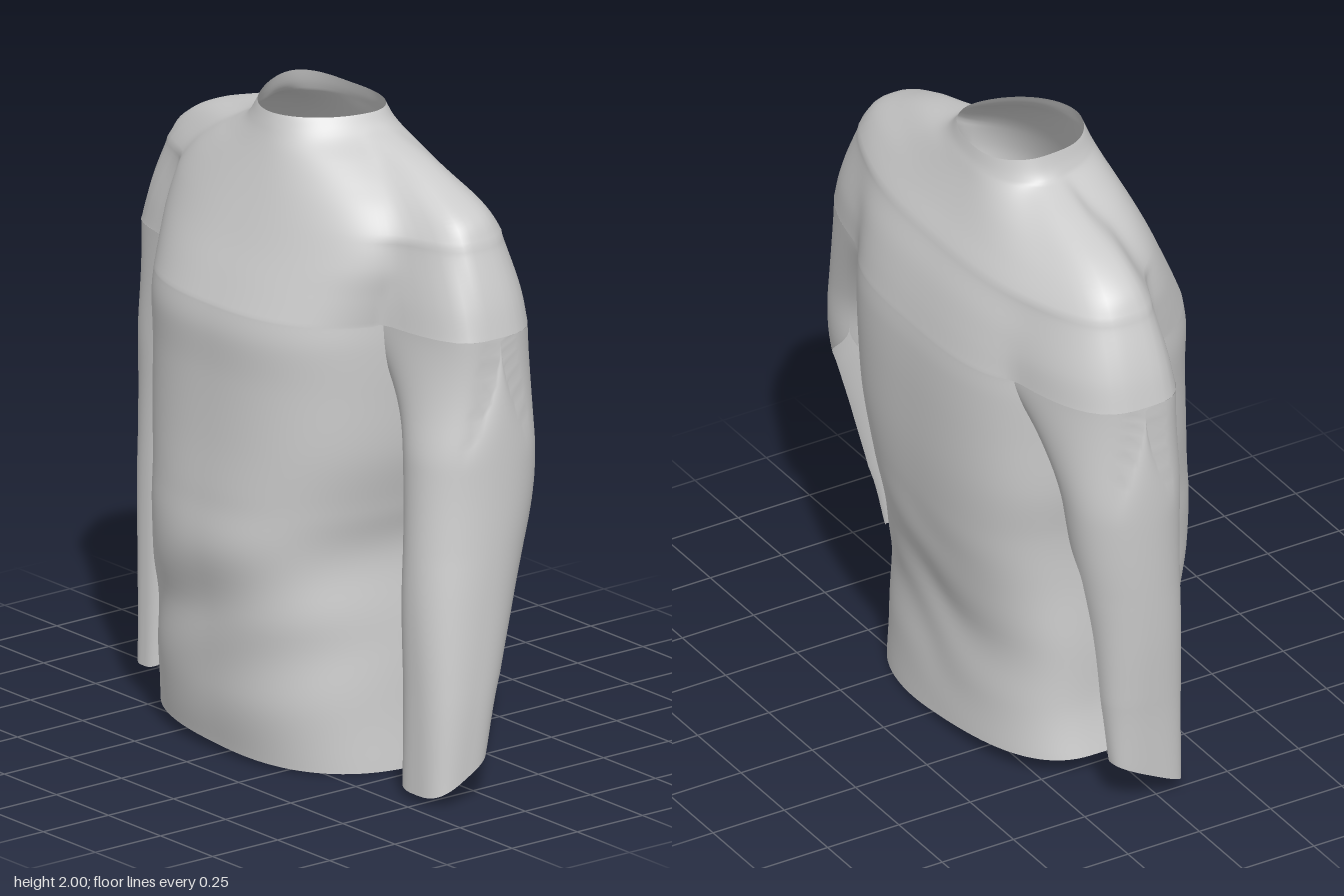
import * as THREE from 'three';
import { mergeGeometries, mergeVertices } from 'three/addons/utils/BufferGeometryUtils.js';

const material = new THREE.MeshStandardMaterial({ color: 0xcccccc, side: THREE.DoubleSide });
const { lerp, smoothstep } = THREE.MathUtils;
const CX = -0.03, CZ = -0.08; // axis shared by the torso and yoke sections
const FRONT_N = 4, BACK_N = 2.8; // squareness of the shoulder section
const CHEST_FRONT_N = 2.6, CHEST_BACK_N = 3.2; // squareness of the chest section

// Smooth interpolation through a table of key rows, t in 0..1
function sampleRow(rows, t) {
  const f = t * (rows.length - 1), i = Math.min(Math.floor(f), rows.length - 2), u = f - i;
  const at = (k) => rows[Math.max(0, Math.min(rows.length - 1, k))];
  return rows[0].map((_, c) => {
    const p0 = at(i - 1)[c], p1 = at(i)[c], p2 = at(i + 1)[c], p3 = at(i + 2)[c];
    return p1 + 0.5 * u * (p2 - p0 + u * (2 * p0 - 5 * p1 + 4 * p2 - p3 + u * (3 * (p1 - p2) + p3 - p0)));
  });
}

// Skin over a grid of points; point(s, t) gives [x, y, z]
function loft(across, along, closed, flip, point) {
  const pos = [], index = [], cols = closed ? across : across + 1;
  for (let j = 0; j <= along; j++)
    for (let i = 0; i < cols; i++) pos.push(...point(i / across, j / along));
  for (let j = 0; j < along; j++)
    for (let i = 0; i < across; i++) {
      const a = j * cols + i, b = j * cols + (i + 1) % cols, c = a + cols, d = b + cols;
      if (flip) index.push(a, b, c, b, d, c);
      else index.push(a, c, b, b, c, d);
    }
  const geo = new THREE.BufferGeometry();
  geo.setAttribute('position', new THREE.Float32BufferAttribute(pos, 3));
  geo.setIndex(index);
  return geo;
}

function part(name, geometry) {
  geometry.computeVertexNormals();
  const mesh = new THREE.Mesh(geometry, material);
  mesh.name = name;
  return mesh;
}

// Radius of a lopsided superellipse reaching x0..x1 and z0..z1 around the axis
function radius(angle, x0, x1, z0, z1, frontN, backN) {
  const c = Math.cos(angle), s = Math.sin(angle), n = s > 0 ? frontN : backN;
  const a = c > 0 ? x1 - CX : CX - x0, b = s > 0 ? z1 - CZ : CZ - z0;
  return Math.pow(Math.pow(Math.abs(c) / a, n) + Math.pow(Math.abs(s) / b, n), -1 / n);
}

// Rows: y, right, left, back, front
const torsoRows = [
  [0.03, -0.545, 0.46, -0.345, 0.365],
  [0.2, -0.515, 0.44, -0.34, 0.395],
  [0.42, -0.51, 0.42, -0.34, 0.405],
  [0.66, -0.5, 0.39, -0.39, 0.44],
  [0.82, -0.505, 0.42, -0.415, 0.43],
  [1.0, -0.53, 0.46, -0.432, 0.415],
  [1.2, -0.54, 0.475, -0.438, 0.406],
  [1.34, -0.548, 0.48, -0.435, 0.407],
  [1.42, -0.55, 0.48, -0.426, 0.394],
];

// Rows: y, chest right, left, back, front, shoulder right, left, back, front
const yokeRows = [
  [1.42, -0.55, 0.48, -0.426, 0.394, -0.82, 0.78, -0.355, 0.12],
  [1.51, -0.565, 0.5, -0.405, 0.353, -0.8, 0.757, -0.35, 0.11],
  [1.6, -0.575, 0.52, -0.377, 0.31, -0.77, 0.725, -0.33, 0.095],
  [1.69, -0.56, 0.51, -0.335, 0.27, -0.73, 0.685, -0.3, 0.075],
  [1.76, -0.51, 0.46, -0.298, 0.24, -0.685, 0.64, -0.26, 0.05],
  [1.82, -0.43, 0.38, -0.27, 0.215, -0.59, 0.525, -0.22, 0.03],
  [1.87, -0.34, 0.3, -0.248, 0.195, -0.445, 0.405, -0.19, 0.0],
  [1.91, -0.275, 0.225, -0.232, 0.18, -0.305, 0.265, -0.16, -0.01],
  [1.94, -0.25, 0.19, -0.22, 0.17, -0.21, 0.15, -0.14, -0.02],
  [1.975, -0.235, 0.165, -0.21, 0.158, -0.17, 0.11, -0.13, -0.03],
];

// Rows: y, inner x, outer x, back z, front z
const leftSleeveRows = [
  [0.02, 0.61, 0.835, -0.02, 0.2],
  [0.3, 0.585, 0.835, -0.075, 0.19],
  [0.6, 0.54, 0.825, -0.17, 0.18],
  [0.9, 0.5, 0.815, -0.265, 0.155],
  [1.15, 0.46, 0.805, -0.285, 0.14],
  [1.42, 0.37, 0.78, -0.31, 0.13],
];
const rightSleeveRows = [
  [0.03, 0.66, 0.785, -0.15, 0.09],
  [0.3, 0.635, 0.8, -0.17, 0.09],
  [0.6, 0.605, 0.825, -0.2, 0.09],
  [0.9, 0.56, 0.84, -0.25, 0.09],
  [1.15, 0.52, 0.842, -0.28, 0.1],
  [1.42, 0.43, 0.82, -0.31, 0.11],
];

// Depth of the shoulder section's lower edge at x, so the sleeve meets it
function shoulderEdge(x, isFront) {
  const [x0, x1, z0, z1] = yokeRows[0].slice(5);
  const n = isFront ? FRONT_N : BACK_N, u = Math.abs(x - CX) / (x > CX ? x1 - CX : CX - x0);
  return CZ + ((isFront ? z1 : z0) - CZ) * Math.pow(Math.max(0, 1 - Math.pow(u, n)), 1 / n);
}

// Sleeve, split open along the back of the forearm, with a slanting cuff
function sleeve(rows, side, slitCentre, slitWidth) {
  return loft(72, 60, false, side < 0, (s, t) => {
    const [y, inner, outer, back, front] = sampleRow(rows, t);
    const gap = slitWidth * (1 - smoothstep(y, 0.8, 1.02));
    const angle = slitCentre + gap / 2 + s * (2 * Math.PI - gap);
    const squash = (v) => Math.sign(v) * Math.pow(Math.abs(v), 0.65 + 0.3 * Math.min(1, t * 2));
    const c = squash(Math.cos(angle)), d = squash(Math.sin(angle));
    const x = side * ((inner + outer) / 2 + (outer - inner) / 2 * c);
    const z = (back + front) / 2 + (front - back) / 2 * d;
    const join = smoothstep(t, 0.7, 1);
    const cuff = Math.max(0, 1 - t * 4) * 0.06 * (1 - d);
    return [x, y + cuff, lerp(z, shoulderEdge(x, d > 0), join)];
  });
}

export function createModel() {
  const shirt = new THREE.Group();
  shirt.name = 'longSleeveShirt';

  // Torso with a slightly tilted hem and soft folds at the waist
  const torso = loft(144, 64, true, false, (s, t) => {
    const [y, ...box] = sampleRow(torsoRows, t);
    const angle = s * 2 * Math.PI, c = Math.cos(angle), d = Math.sin(angle);
    const fold = 0.005 * Math.sin(y * 22 - c * 4) * Math.max(0, 1 - Math.abs(y - 0.45) / 0.4);
    const r = radius(angle, ...box, CHEST_FRONT_N, lerp(2.5, CHEST_BACK_N, t)) + fold * Math.abs(d);
    const hem = Math.max(0, 1 - t * 5) * (-0.03 * c - 0.008 * Math.abs(d));
    return [CX + r * c, y + hem, CZ + r * d];
  });

  // Chest and shoulders blended together, closing in to the collar
  const yoke = loft(144, 54, true, false, (s, t) => {
    const row = sampleRow(yokeRows, t), angle = s * 2 * Math.PI;
    const c = Math.cos(angle), d = Math.sin(angle);
    const chest = radius(angle, ...row.slice(1, 5), lerp(CHEST_FRONT_N, 1.9, t * t), lerp(CHEST_BACK_N, 2.2, t));
    const shoulder = radius(angle, ...row.slice(5, 9), lerp(FRONT_N, 2.3, t), lerp(BACK_N, 2.3, t));
    const p = lerp(50, 9, Math.min(1, t * 3));
    const r = Math.pow(Math.pow(chest, p) + Math.pow(shoulder, p), 1 / p);
    const peak = Math.max(0, t * 6 - 5) * 0.025 * Math.pow(Math.max(0, -c), 4);
    return [CX + r * c, row[0] + peak, CZ + r * d];
  });

  // Join the two where they meet so the chest shades smoothly
  shirt.add(part('body', mergeVertices(mergeGeometries([torso, yoke]), 0.001)));

  shirt.add(part('leftSleeve', sleeve(leftSleeveRows, 1, 1.38 * Math.PI, 1.8)));
  shirt.add(part('rightSleeve', sleeve(rightSleeveRows, -1, 1.28 * Math.PI, 1.4)));
  return shirt;
}
